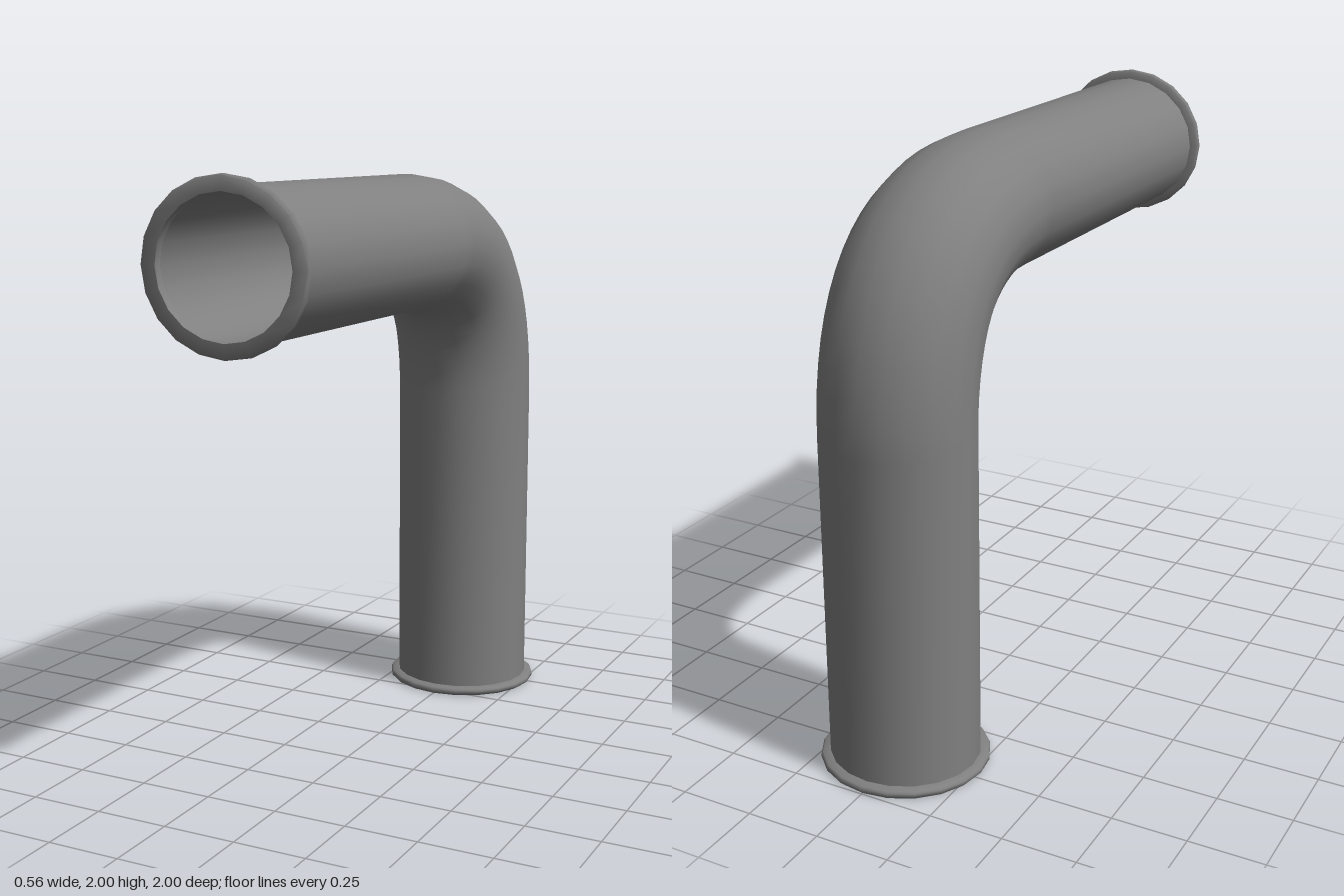
import * as THREE from 'three';
import { toCreasedNormals, mergeVertices } from 'three/addons/utils/BufferGeometryUtils.js';

const SIDES = 20;
const AXIS_Z = -0.728, AXIS_Y = 1.734; // centre lines of the two straight runs
const material = new THREE.MeshStandardMaterial({ color: 0x808080, side: THREE.DoubleSide });

// Centre line: riser, bend, horizontal run
function centreLine() {
  const v = (y, z) => new THREE.Vector3(0, y, z);
  const bend = new THREE.QuadraticBezierCurve3(v(1.12, AXIS_Z), v(AXIS_Y, AXIS_Z), v(AXIS_Y, -0.17));
  const stations = [{ p: v(0.01, AXIS_Z), t: v(1, 0), k: 0 }];
  const steps = 16;
  for (let i = 0; i <= steps; i++) {
    stations.push({ p: bend.getPoint(i / steps), t: bend.getTangent(i / steps), k: i / steps });
  }
  stations.push({ p: v(AXIS_Y, 0.99), t: v(0, 1), k: 1 });
  return stations;
}

// Slightly oval wall swept along the centre line; inward flips the faces
function wallGeometry(stations, rx, rStart, rEnd, inward) {
  const pos = [], index = [], xAxis = new THREE.Vector3(1, 0, 0);
  stations.forEach(({ p, t, k }, i) => {
    const n = new THREE.Vector3().crossVectors(t, xAxis);
    const r = THREE.MathUtils.lerp(rStart, rEnd, k);
    for (let j = 0; j < SIDES; j++) {
      const a = (j / SIDES) * Math.PI * 2;
      const q = p.clone().addScaledVector(xAxis, rx * Math.cos(a)).addScaledVector(n, r * Math.sin(a));
      pos.push(q.x, q.y, q.z);
      if (i === 0) continue;
      const j2 = (j + 1) % SIDES, lo = (i - 1) * SIDES, hi = i * SIDES;
      const [a0, b0, c0, d0] = [lo + j, lo + j2, hi + j2, hi + j];
      if (inward) index.push(a0, c0, b0, a0, d0, c0);
      else index.push(a0, b0, c0, a0, c0, d0);
    }
  });
  const g = new THREE.BufferGeometry();
  g.setAttribute('position', new THREE.Float32BufferAttribute(pos, 3));
  g.setIndex(index);
  g.computeVertexNormals();
  return g;
}

// Thin end collar with a softened rim, on the y axis, open face at y = 0
function collarGeometry() {
  const profile = [[0.228, 0], [0.274, 0], [0.28, 0.006], [0.28, 0.018], [0.274, 0.024], [0.24, 0.028], [0.228, 0.028], [0.228, 0]];
  const g = new THREE.LatheGeometry(profile.map(([r, y]) => new THREE.Vector2(r, y)), SIDES);
  g.deleteAttribute('normal');
  g.deleteAttribute('uv');
  return toCreasedNormals(mergeVertices(g, 1e-4), 0.9);
}

export function createModel() {
  const model = new THREE.Group();
  model.name = 'elbowPipe';
  const add = (name, geometry) => {
    const mesh = new THREE.Mesh(geometry, material);
    mesh.name = name;
    model.add(mesh);
    return mesh;
  };

  // Pipe walls
  const stations = centreLine();
  add('outerWall', wallGeometry(stations, 0.25, 0.239, 0.235, false));
  add('innerWall', wallGeometry(stations, 0.23, 0.222, 0.217, true));

  // Collars at both open ends
  const collar = collarGeometry();
  const base = add('baseCollar', collar);
  base.position.set(0, 0, AXIS_Z);
  base.scale.set(1, 1, 0.97);
  const front = add('frontCollar', collar);
  front.position.set(0, AXIS_Y + 0.002, 1);
  front.rotation.x = -Math.PI / 2;
  front.scale.set(1, 1, 0.943);
  return model;
}
